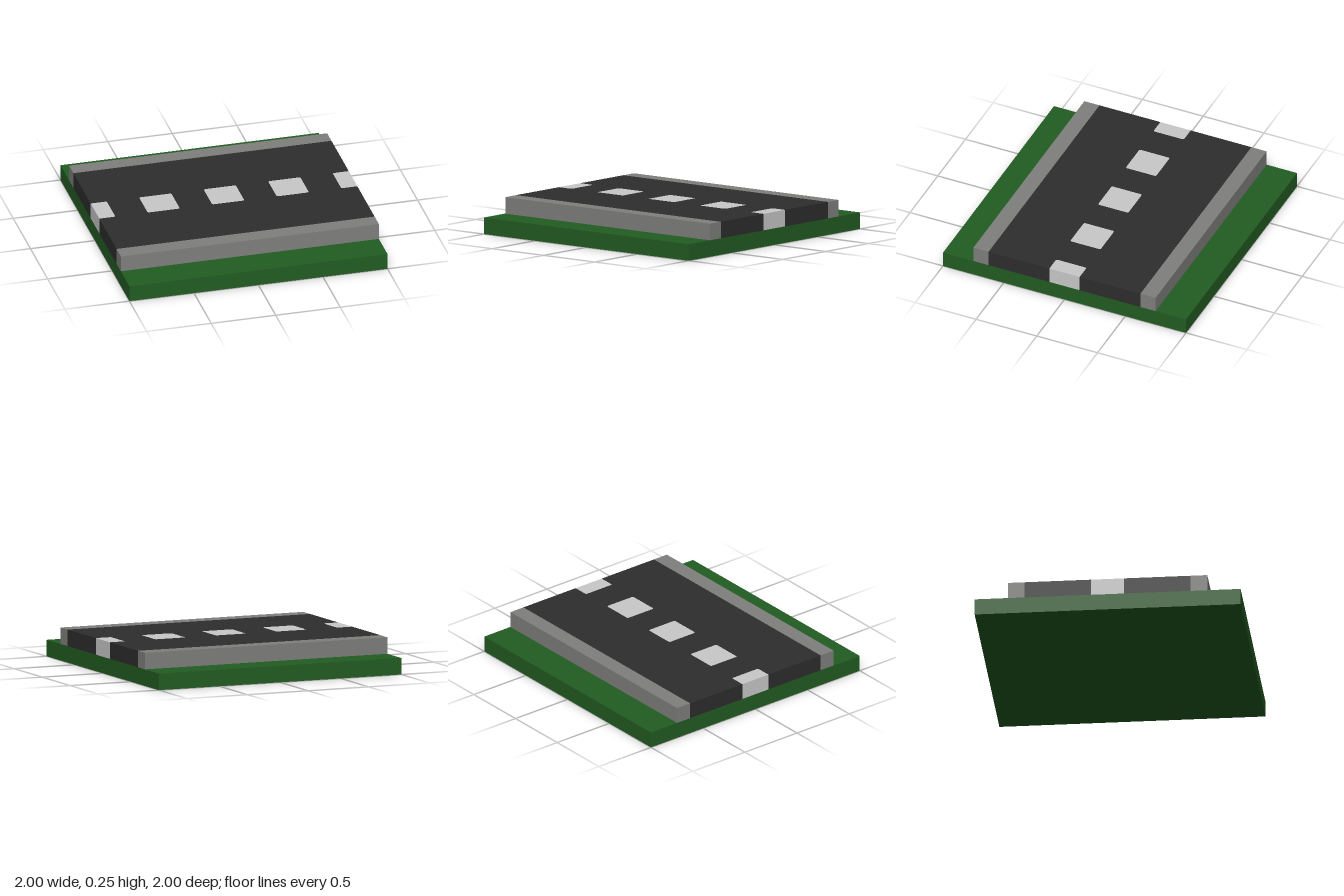
import * as THREE from 'three';

const BASE_H = 0.125, ROAD_H = 0.125, HALF_DASH = 0.125, R = 0.014;

const grass = new THREE.MeshStandardMaterial({ color: 0x225c22 });
grass.name = 'grass green';
const asphalt = new THREE.MeshStandardMaterial({ color: 0x2d2d2d });
asphalt.name = 'asphalt';
const concrete = new THREE.MeshStandardMaterial({ color: 0x7f7f7d });
concrete.name = 'concrete grey';
const paint = new THREE.MeshStandardMaterial({ color: 0xc9c9c9 });
paint.name = 'road paint';

// Flat outline raised from the top of the base
function slab(shape, material, name) {
  const geometry = new THREE.ExtrudeGeometry(shape, { depth: ROAD_H, bevelEnabled: false, curveSegments: 3 });
  geometry.rotateX(-Math.PI / 2).translate(0, BASE_H, 0);
  const mesh = new THREE.Mesh(geometry, material);
  mesh.name = name;
  return mesh;
}

function box(w, h, d, y, z, material, name) {
  const mesh = new THREE.Mesh(new THREE.BoxGeometry(w, h, d), material);
  mesh.position.set(0, y, z);
  mesh.name = name;
  return mesh;
}

// Square dash with slightly rounded corners
function dashShape(x) {
  const h = HALF_DASH, s = new THREE.Shape();
  s.moveTo(x - h + R, -h);
  s.lineTo(x + h - R, -h).quadraticCurveTo(x + h, -h, x + h, -h + R);
  s.lineTo(x + h, h - R).quadraticCurveTo(x + h, h, x + h - R, h);
  s.lineTo(x - h + R, h).quadraticCurveTo(x - h, h, x - h, h - R);
  s.lineTo(x - h, -h + R).quadraticCurveTo(x - h, -h, x - h + R, -h);
  return s;
}

// Inner edge of the half dash at one end (side = 1 or -1)
function traceEnd(path, side) {
  const h = HALF_DASH, inner = 1 - h;
  path.lineTo(side, -side * h);
  path.lineTo(side * (inner + R), -side * h);
  path.quadraticCurveTo(side * inner, -side * h, side * inner, -side * (h - R));
  path.lineTo(side * inner, side * (h - R));
  path.quadraticCurveTo(side * inner, side * h, side * (inner + R), side * h);
  path.lineTo(side, side * h);
}

export function createModel() {
  const model = new THREE.Group();
  model.name = 'roadTile';

  model.add(box(2, BASE_H, 2, BASE_H / 2, 0, grass, 'grassBase'));

  // Kerbs along both edges of the road
  for (const side of [1, -1]) {
    model.add(box(2, ROAD_H, 0.125, BASE_H + ROAD_H / 2, side * 0.6875, concrete, side > 0 ? 'frontKerb' : 'backKerb'));
  }

  // Road surface, cut out where the dashes sit
  const road = new THREE.Shape();
  road.moveTo(-1, -0.625);
  road.lineTo(1, -0.625);
  traceEnd(road, 1);
  road.lineTo(1, 0.625);
  road.lineTo(-1, 0.625);
  traceEnd(road, -1);
  road.lineTo(-1, -0.625);

  // Centre line: three whole dashes and a half dash at each end
  for (const x of [-0.5, 0, 0.5]) {
    road.holes.push(dashShape(x));
    model.add(slab(dashShape(x), paint, 'centreDash'));
  }
  for (const side of [1, -1]) {
    const end = new THREE.Shape();
    end.moveTo(side, side * HALF_DASH);
    traceEnd(end, side);
    model.add(slab(end, paint, side > 0 ? 'leftEndDash' : 'rightEndDash'));
  }
  model.add(slab(road, asphalt, 'roadSurface'));

  return model;
}
